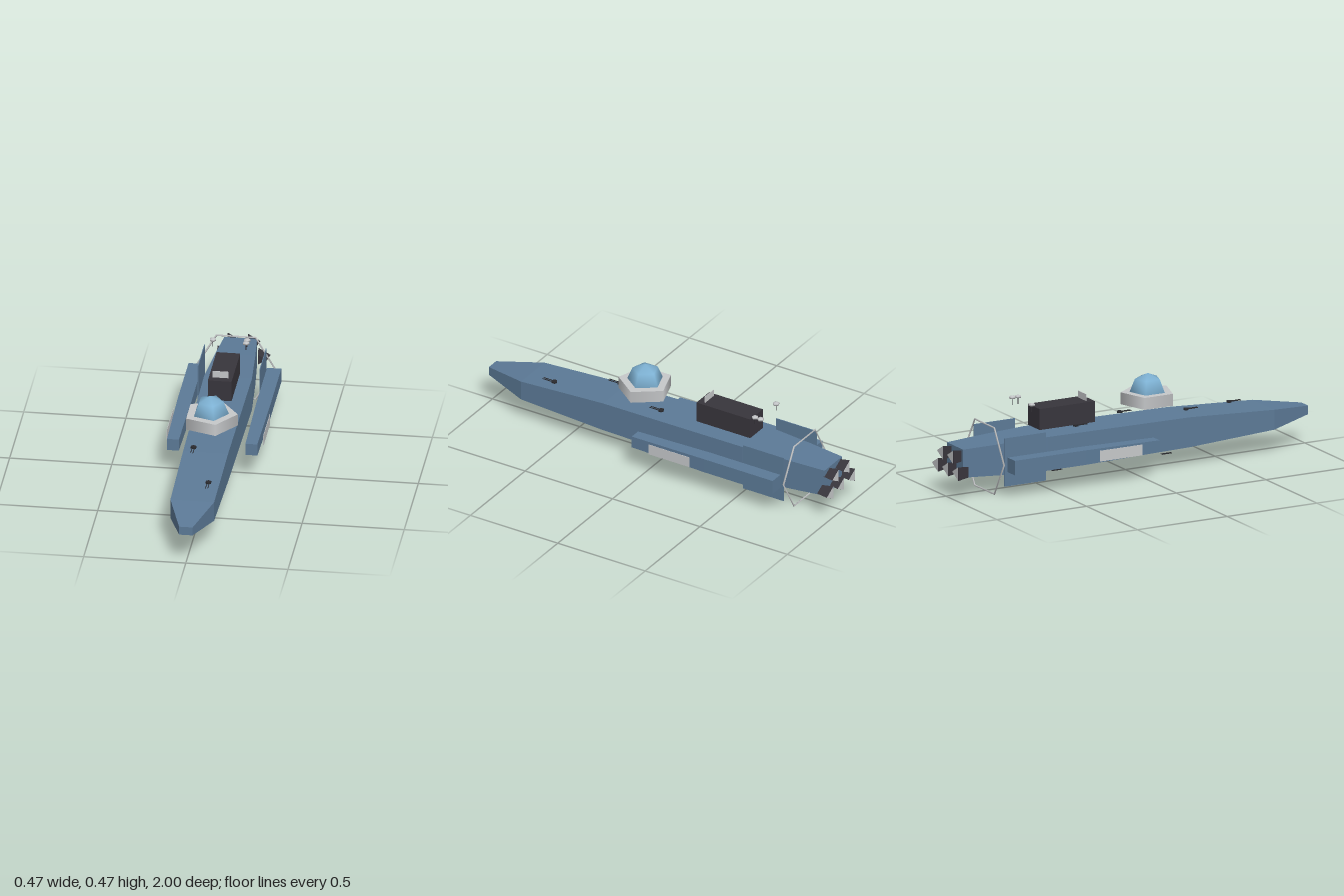
import * as THREE from 'three';

const mat = (name, color, extra = {}) => Object.assign(new THREE.MeshStandardMaterial({ color, ...extra }), { name });

// Rectangular cross-sections [z, halfWidth, yLow, yHigh], listed front to back
function loft(sections, cx = 0) {
  const pos = [];
  const rings = sections.map(([z, w, lo, hi]) => [
    [cx - w, lo, z], [cx + w, lo, z], [cx + w, hi, z], [cx - w, hi, z],
  ]);
  const quad = (a, b, c, d) => pos.push(...a, ...b, ...c, ...a, ...c, ...d);
  quad(...rings[0]);
  for (let i = 0; i + 1 < rings.length; i++) {
    const f = rings[i], r = rings[i + 1];
    for (let k = 0; k < 4; k++) {
      const n = (k + 1) % 4;
      quad(f[k], r[k], r[n], f[n]);
    }
  }
  quad(...[...rings[rings.length - 1]].reverse());
  const g = new THREE.BufferGeometry();
  g.setAttribute('position', new THREE.Float32BufferAttribute(pos, 3));
  g.computeVertexNormals();
  return g;
}

export function createModel() {
  const blue = mat('hullBlue', 0x5c7a97);
  const glass = mat('domeBlue', 0x7eb2d4);
  const grey = mat('lightGrey', 0xc6c8ca);
  const dark = mat('darkGrey', 0x38353c);
  const black = mat('gunBlack', 0x2a2a2e);

  const model = new THREE.Group();
  const add = (name, geo, material, x = 0, y = 0, z = 0, parent = model) => {
    const m = new THREE.Mesh(geo, material);
    m.name = name;
    m.position.set(x, y, z);
    parent.add(m);
    return m;
  };
  const box = (w, h, d) => new THREE.BoxGeometry(w, h, d);

  // Main hull
  add('hull', loft([
    [1, 0.033, 0.152, 0.195],
    [0.77, 0.107, 0.122, 0.222],
    [0.3, 0.11, 0.098, 0.248],
    [-0.5, 0.117, 0.088, 0.257],
    [-0.76, 0.098, 0.095, 0.251],
    [-0.95, 0.08, 0.104, 0.245],
  ]), blue);

  // Side pods with outer plates, and tall fins
  for (const s of [-1, 1]) {
    add('sidePod', loft([
      [0.065, 0.029, 0.13, 0.19],
      [-0.35, 0.035, 0.123, 0.196],
      [-0.745, 0.035, 0.123, 0.196],
    ], s * 0.192), blue);
    add('podPlate', box(0.002, 0.054, 0.235), grey, s * 0.236, 0.159, -0.158);
    add('fin', box(0.004, 0.242, 0.23), blue, s * 0.151, 0.172, -0.645);
  }

  // Hexagonal hoop near the stern
  add('sternHoop', new THREE.TorusGeometry(0.192, 0.005, 4, 6), grey, 0, 0.17, -0.785);

  // Five three-sided engine nozzles, each with a point towards +x
  const nozzle = new THREE.CylinderGeometry(0.03, 0.04, 0.06, 3).toNonIndexed();
  nozzle.computeVertexNormals();
  nozzle.rotateY(Math.PI / 2).rotateX(Math.PI / 2);
  const exit = new THREE.CircleGeometry(0.039, 3).rotateX(Math.PI);
  const engines = [[-0.1, 0.138], [0, 0.138], [0.1, 0.138], [-0.05, 0.21], [0.05, 0.21]];
  for (const [x, y] of engines) {
    add('engineNozzle', nozzle, dark, x, y, -0.969);
    add('engineExit', exit, grey, x, y, -1);
  }

  // Five-sided dome on its collar
  add('domeCollar', new THREE.CylinderGeometry(0.134, 0.134, 0.06, 5).rotateY(Math.PI / 2), grey, 0, 0.348, 0.125);
  add('dome', new THREE.SphereGeometry(0.091, 5, 2, 0, Math.PI * 2, 0, Math.PI / 2).rotateY(Math.PI),
    glass, 0, 0.377, 0.125);

  // Dorsal housing with a flat panel
  add('dorsalHousing', box(0.116, 0.105, 0.307), dark, 0, 0.332, -0.357);
  add('dorsalPanel', box(0.078, 0.034, 0.003), grey, 0, 0.402, -0.24);

  // Small dish antennas
  for (const [x, z] of [[-0.084, -0.57], [0.081, -0.553], [0.081, -0.585]]) {
    add('antennaStem', new THREE.CylinderGeometry(0.002, 0.002, 0.032, 5), dark, x, 0.4, z);
    add('antennaDish', new THREE.SphereGeometry(0.019, 5, 3).scale(1, 0.5, 1).rotateY(Math.PI), grey, x, 0.421, z);
  }

  // Turrets with twin barrels, alternating sides above and below
  const turret = (x, y, z, withBase) => {
    const g = new THREE.Group();
    g.name = 'turret';
    g.position.set(x, y, z);
    model.add(g);
    if (withBase) add('turretBase', new THREE.CylinderGeometry(0.015, 0.015, 0.008, 6), black, 0, 0, 0, g);
    for (const s of [-1, 1]) {
      add('barrel', box(0.003, 0.003, 0.056), black, s * 0.0055, 0, withBase ? 0.036 : 0, g);
    }
  };
  [[0.057, 0.247, 0.61], [-0.058, 0.277, 0.305], [0.057, 0.277, 0], [-0.058, 0.277, -0.31]]
    .forEach(([x, y, z]) => turret(x, y, z, true));
  [[0.057, 0.097, 0.5], [-0.058, 0.068, 0.195], [0.057, 0.068, -0.11], [-0.058, 0.068, -0.415]]
    .forEach(([x, y, z]) => turret(x, y, z, false));

  return model;
}
